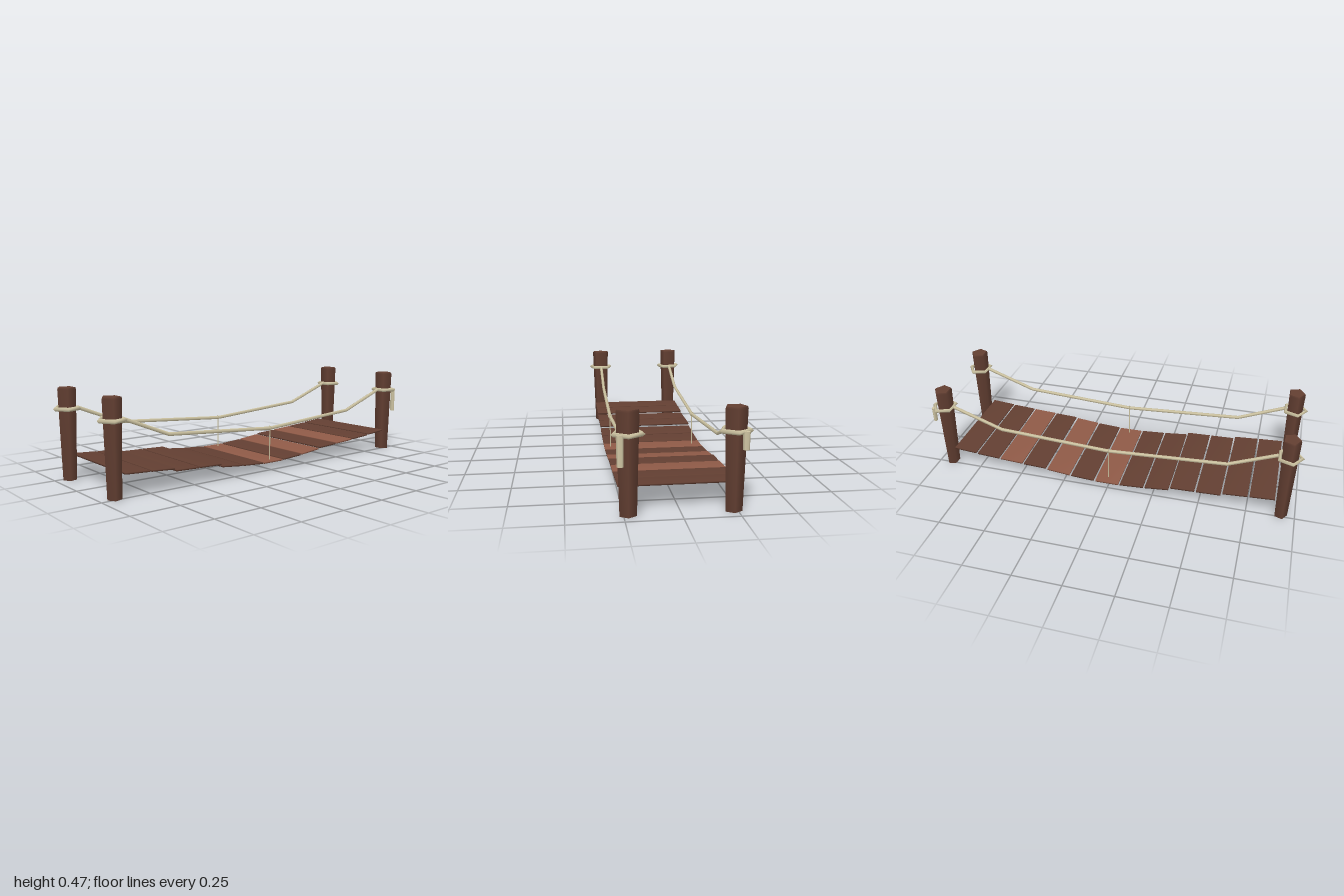
import * as THREE from 'three';
import { mergeVertices } from 'three/addons/utils/BufferGeometryUtils.js';

// Straight-segment path, sampled exactly at its corners
class Polyline extends THREE.Curve {
  constructor(points) { super(); this.points = points.map(p => new THREE.Vector3(...p)); }
  getUtoTmapping(u) { return u; }
  getPoint(t, target = new THREE.Vector3()) {
    const n = this.points.length - 1;
    const i = Math.min(Math.floor(t * n + 1e-9), n - 1);
    return target.lerpVectors(this.points[i], this.points[i + 1], t * n - i);
  }
}

// Shared corners give soft shading over the whole part
function soften(geometry) {
  geometry.deleteAttribute('normal');
  geometry.deleteAttribute('uv');
  const g = mergeVertices(geometry, 1e-4);
  g.computeVertexNormals();
  return g;
}

export function createModel() {
  const group = new THREE.Group();
  const material = (name, color, side = THREE.FrontSide) => {
    const m = new THREE.MeshStandardMaterial({ color, side });
    m.name = name;
    return m;
  };
  const darkWood = material('darkWood', 0x633f32);
  const redWood = material('redWood', 0x8f5a47);
  const ropeMat = material('rope', 0xcfc5a3, THREE.DoubleSide);

  const add = (name, geometry, mat, x = 0, y = 0, z = 0) => {
    const mesh = new THREE.Mesh(geometry, mat);
    mesh.name = name;
    mesh.position.set(x, y, z);
    group.add(mesh);
    return mesh;
  };

  // Planks: height of the left and right edge of each one
  const edges = [
    [0.119, 0.112], [0.111, 0.103], [0.092, 0.088], [0.088, 0.084], [0.071, 0.059],
    [0.058, 0.05], [0.049, 0.049], [0.051, 0.059], [0.061, 0.074], [0.08, 0.086],
    [0.088, 0.095], [0.097, 0.105], [0.108, 0.118],
  ];
  const plankGeo = soften(new THREE.BoxGeometry(0.127, 0.008, 0.542));
  edges.forEach(([a, b], i) => {
    const mat = [6, 8, 10].includes(i) ? redWood : darkWood;
    const plank = add('plank', plankGeo, mat, -0.825 + i * 0.137, (a + b) / 2, 0);
    plank.rotation.z = Math.atan2(b - a, 0.127);
  });

  // Five-sided posts that widen upwards, with a small bevel on top
  const postGeo = new THREE.LatheGeometry(
    [[0, 0], [0.0394, 0], [0.0526, 0.458], [0.0495, 0.467]].map(p => new THREE.Vector2(...p)), 5);
  postGeo.rotateY(Math.PI / 2);
  postGeo.scale(0.88, 1, 1);
  const capGeo = new THREE.CircleGeometry(0.0495, 5);
  capGeo.rotateX(-Math.PI / 2);
  capGeo.scale(0.88, 1, 1);

  // Rope loop tied around each post
  const loopGeo = new THREE.TorusGeometry(0.066, 0.0115, 4, 5);
  loopGeo.rotateX(-Math.PI / 2);
  loopGeo.scale(0.9, 0.9, 1);

  for (const sx of [-1, 1]) {
    for (const sz of [-1, 1]) {
      const turn = sx > 0 ? 0 : Math.PI;
      add('post', postGeo, darkWood, sx * 0.927, 0, sz * 0.231).rotation.y = turn;
      add('postTop', capGeo, darkWood, sx * 0.927, 0.467, sz * 0.231).rotation.y = turn;
      add('ropeLoop', loopGeo, ropeMat, sx * 0.93, 0.363, sz * 0.231).rotation.y = turn;
    }
  }

  // Hand ropes and the thin hanger in the middle of each
  for (const sz of [-1, 1]) {
    const zEnd = sz * 0.231;
    const zMid = sz > 0 ? 0.237 : -0.222;
    const path = new Polyline([
      [-0.875, 0.364, zEnd], [-0.63, 0.264, zEnd], [0, 0.224, zMid],
      [0.6, 0.264, zEnd], [0.875, 0.364, zEnd],
    ]);
    add('handRope', new THREE.TubeGeometry(path, 4, 0.0095, 5), ropeMat);
    add('hanger', new THREE.CylinderGeometry(0.003, 0.003, 0.18, 5), ropeMat, 0, 0.14, zMid);
    const knot = add('hangerKnot', new THREE.TorusGeometry(0.01, 0.003, 4, 6), ropeMat, 0, 0.225, zMid);
    knot.rotation.y = Math.PI / 2;
  }

  // Loose rope ends hanging from the loops at one end
  for (const [length, z] of [[0.135, 0.267], [0.08, -0.267]]) {
    const tailGeo = new THREE.CylinderGeometry(0.0165, 0.0145, length, 6);
    tailGeo.scale(0.6, 1, 1);
    add('ropeTail', tailGeo, ropeMat, 0.976, 0.366 - length / 2, z);
  }

  return group;
}
